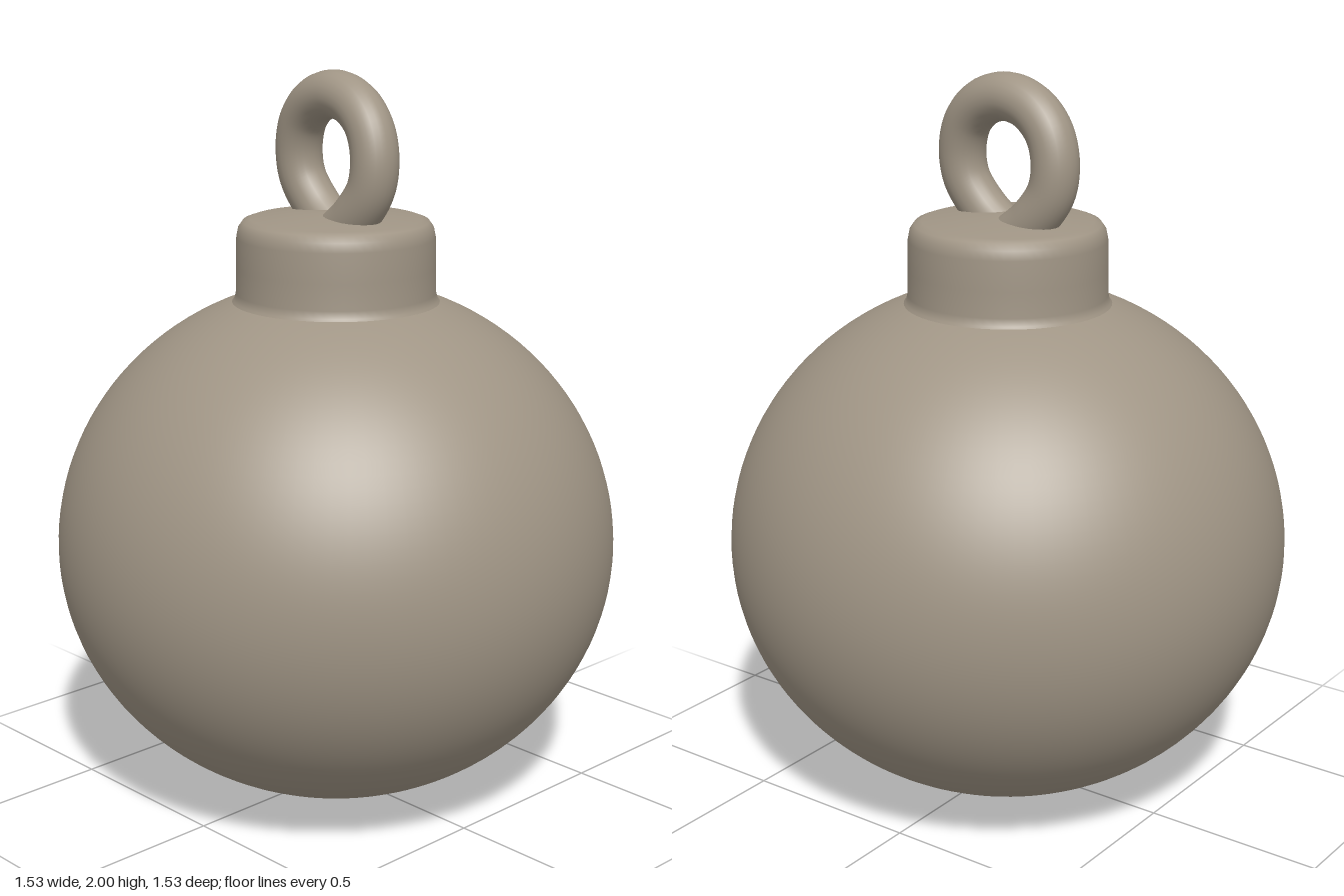
import * as THREE from 'three';

export function createModel() {
  const group = new THREE.Group();
  const clay = new THREE.MeshStandardMaterial({ color: 0xa09585 });
  clay.name = 'warm grey clay';

  const add = (name, geometry) => {
    const mesh = new THREE.Mesh(geometry, clay);
    mesh.name = name;
    group.add(mesh);
    return mesh;
  };

  // Slightly squashed ball: the lower half is a little shorter than the upper
  const profile = [];
  const steps = 64;
  for (let i = 0; i <= steps; i++) {
    const a = -Math.PI / 2 + (Math.PI * i) / steps;
    const height = a < 0 ? 0.705 : 0.725;
    profile.push(new THREE.Vector2(Math.max(0, 0.767 * Math.cos(a)), 0.71 + height * Math.sin(a)));
  }
  profile[0].y = 0;
  add('ball', new THREE.LatheGeometry(profile, 96));

  // Cap with a small foot fillet, rounded shoulder and gently sloping top
  const cap = [
    [0.29, 1.375], [0.275, 1.39], [0.27, 1.41], [0.269, 1.48], [0.267, 1.56],
    [0.262, 1.585], [0.25, 1.602], [0.23, 1.609], [0.12, 1.622], [0, 1.63],
  ].map(([r, y]) => new THREE.Vector2(r, y));
  add('cap', new THREE.LatheGeometry(cap, 64));

  // Hanging loop: a teardrop whose two ends pass each other in the cap
  const half = [
    [0.02, 1.56, 0.03], [0.105, 1.63, 0.03], [0.156, 1.705, 0.024],
    [0.165, 1.785, 0.02], [0.14, 1.86, 0.014], [0.08, 1.915, 0.006],
  ].map((p) => new THREE.Vector3(...p));
  const mirrored = half.map((p) => new THREE.Vector3(-p.x, p.y, -p.z)).reverse();
  const path = new THREE.CatmullRomCurve3([...half, new THREE.Vector3(0, 1.936, 0), ...mirrored]);
  add('hangingLoop', new THREE.TubeGeometry(path, 80, 0.064, 24, false));

  return group;
}
